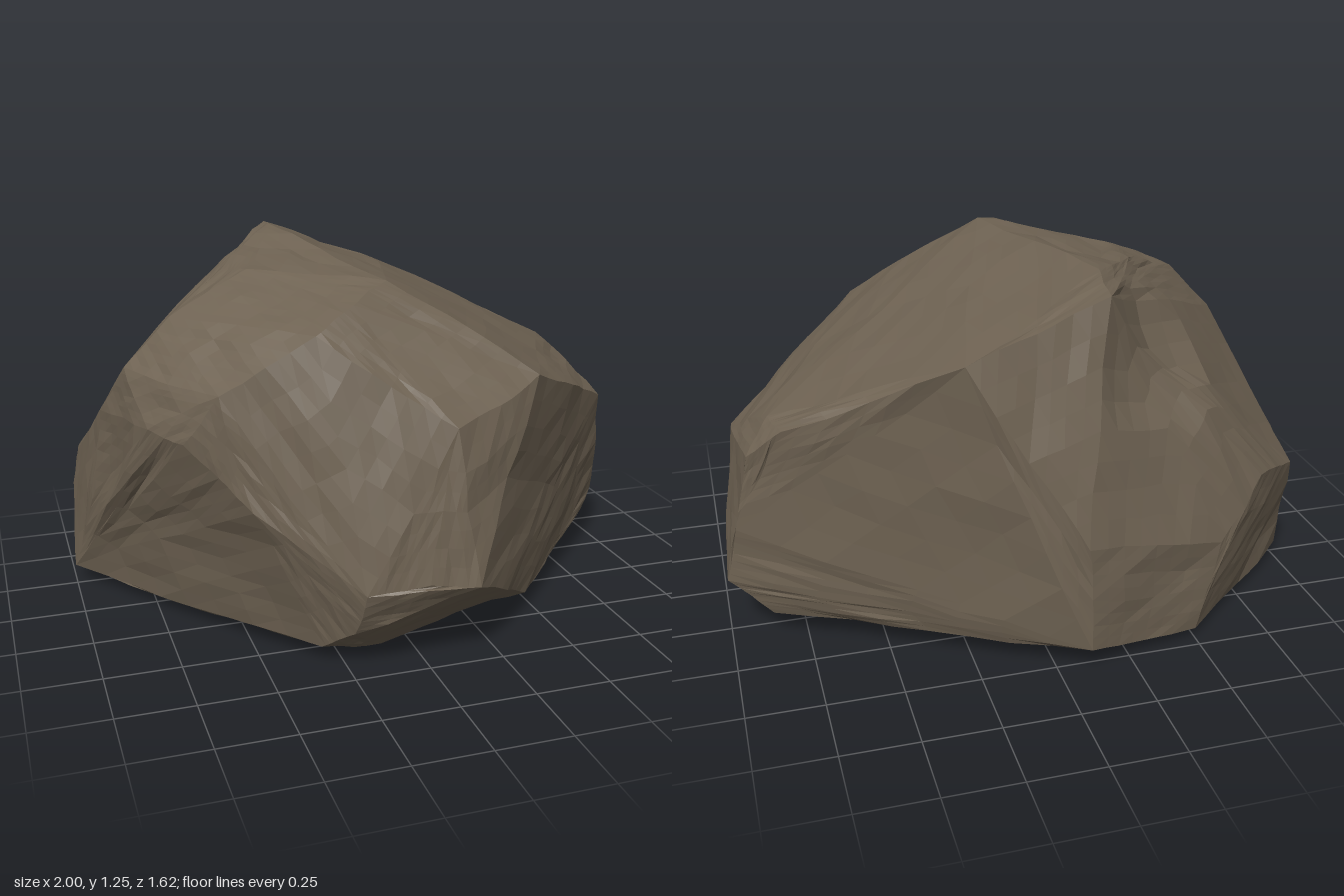
import * as THREE from 'three';
import { ConvexGeometry } from 'three/addons/geometries/ConvexGeometry.js';

// Corners of the boulder's broken faces
const lowerCorners = [
  // underside and its chamfer
  [-0.62, 0.0, 0.13], [-0.32, 0.05, 0.61], [-0.12, 0.03, 0.61], [0.45, 0.07, 0.48],
  [0.82, 0.09, 0.06], [0.86, 0.09, -0.34], [-0.1, 0.08, -0.81], [-0.5, 0.03, -0.71],
  [-1.0, 0.05, -0.28], [-0.24, 0.13, 0.71],
  // low rim
  [0.14, 0.28, 0.81], [-0.02, 0.3, 0.79], [-0.22, 0.28, 0.77],
  [0.97, 0.21, -0.05], [1.0, 0.22, -0.31],
];
const upperCorners = [
  // waist
  [0.93, 0.62, 0.05], [0.96, 0.42, -0.34], [0.91, 0.69, -0.37], [-0.08, 0.45, -0.81],
  [-0.57, 0.35, -0.71], [-0.74, 0.53, -0.62], [-0.95, 0.46, -0.43],
  [-0.97, 0.46, -0.3], [-0.93, 0.4, -0.1], [-0.9, 0.7, -0.06],
  [-0.52, 0.51, 0.56], [-0.7, 0.7, 0.4], [-0.79, 0.72, 0.27],
  // shoulders
  [0.42, 0.88, 0.58], [0.08, 0.78, 0.74], [-0.32, 1.06, 0.58],
  [-0.6, 0.87, 0.48], [-0.83, 0.88, 0.08], [-0.68, 1.04, 0.1],
  [0.83, 0.79, -0.3], [0.8, 0.79, -0.43], [0.64, 0.87, -0.51], [0.28, 1.05, -0.69],
  // crown
  [-0.04, 1.18, 0.41], [-0.18, 1.13, 0.51], [-0.12, 1.2, 0.03], [-0.4, 1.17, 0.03],
  [-0.46, 1.15, -0.1], [-0.42, 1.12, -0.25], [-0.2, 1.24, -0.47], [-0.17, 1.22, -0.67],
];

// Hollow broken out of the back, below the crown
const hollow = { centre: new THREE.Vector3(-0.34, 1.0, -0.63), radius: 0.25, depth: 0.06 };
const hollowDirection = new THREE.Vector3(0.45, -0.55, 0.7).normalize();

function carve(p) {
  const t = Math.max(0, 1 - p.distanceTo(hollow.centre) / hollow.radius);
  p.addScaledVector(hollowDirection, hollow.depth * t * (2 - t));
}

// Repeatable roughness that depends only on position, so shared corners stay joined
function roughness(p, salt) {
  const key = Math.round(p.x * 1000) * 12.9898 + Math.round(p.y * 1000) * 78.233
    + Math.round(p.z * 1000) * 37.719 + salt * 4.17;
  const s = Math.sin(key) * 43758.5453;
  return (s - Math.floor(s)) * 2 - 1;
}

// Split every triangle in four, nudging each new midpoint a little
function roughen(triangles, amount) {
  const midpoint = (a, b) => {
    const m = a.clone().add(b).multiplyScalar(0.5);
    const size = amount * Math.min(1, a.distanceTo(b) * 3);
    const nudge = new THREE.Vector3(roughness(m, 1), roughness(m, 2), roughness(m, 3));
    return m.addScaledVector(nudge, size);
  };
  return triangles.flatMap(([a, b, c]) => {
    const ab = midpoint(a, b), bc = midpoint(b, c), ca = midpoint(c, a);
    return [[a, ab, ca], [ab, b, bc], [ca, bc, c], [ab, bc, ca]];
  });
}

function boulderGeometry() {
  const corners = [...lowerCorners, ...upperCorners].map((p) => new THREE.Vector3(...p));
  const pos = new ConvexGeometry(corners).getAttribute('position');
  let triangles = [];
  for (let i = 0; i < pos.count; i += 3) {
    triangles.push([0, 1, 2].map((k) => new THREE.Vector3().fromBufferAttribute(pos, i + k)));
  }
  for (const amount of [0.012, 0.01, 0.006]) triangles = roughen(triangles, amount);

  // copy the points first, as neighbouring triangles share them
  const points = triangles.flat().map((p) => p.clone());
  points.forEach(carve);
  const geometry = new THREE.BufferGeometry().setFromPoints(points);
  geometry.computeVertexNormals();
  return geometry;
}

export function createModel() {
  const stone = new THREE.MeshStandardMaterial({ color: 0x6f6353, flatShading: true });
  stone.name = 'brownStone';
  const boulder = new THREE.Mesh(boulderGeometry(), stone);
  boulder.name = 'boulder';
  const model = new THREE.Group();
  model.name = 'rock';
  model.add(boulder);
  return model;
}
